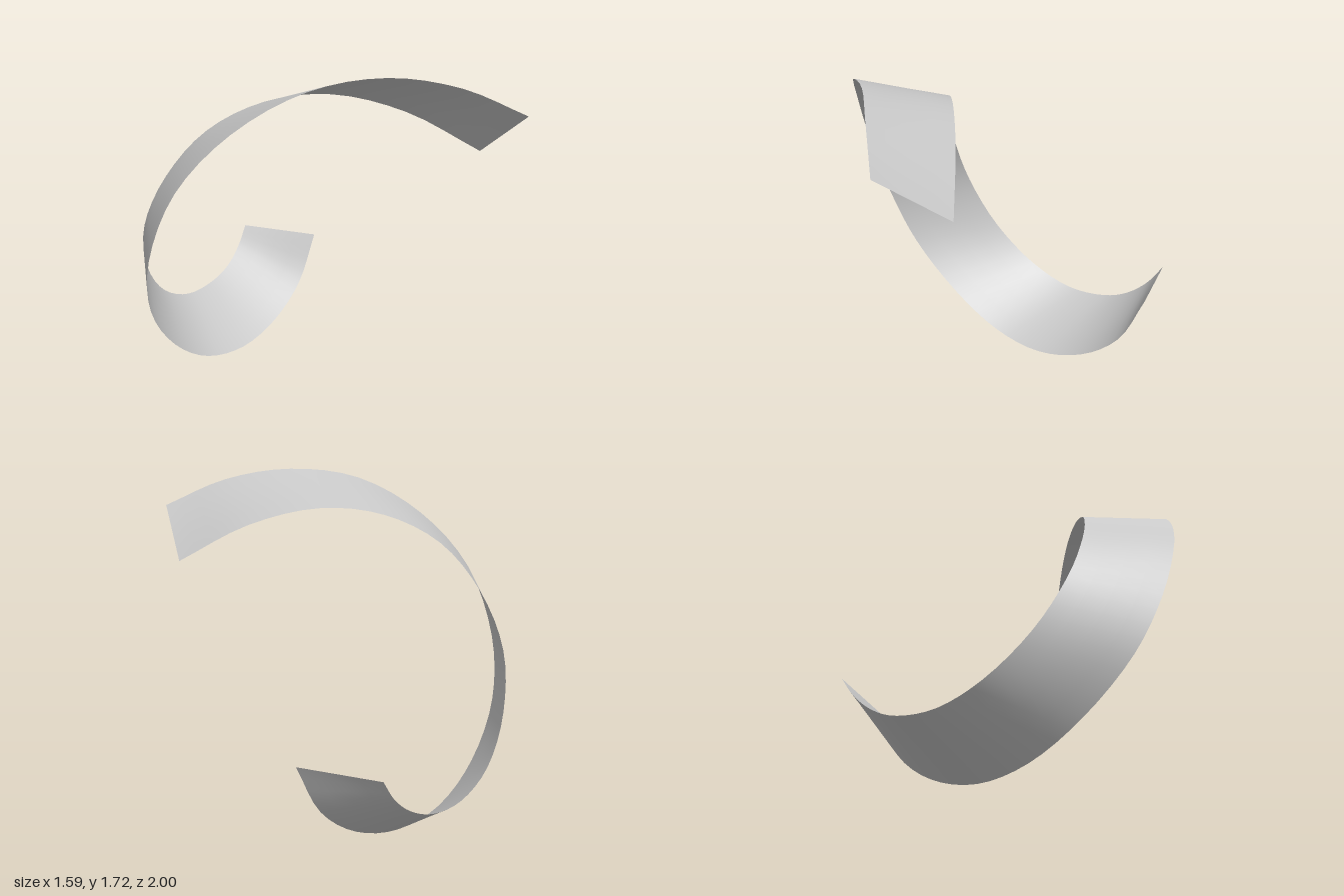
import * as THREE from 'three';

// Matching control points along the two edges, from the lower back end to the upper front end
const OUTER = [
  [0.68, 0.515, -0.63], [0.54, 0.25, -0.59], [0.32, 0.08, -0.525], [0.04, 0.002, -0.44],
  [-0.25, 0.045, -0.355], [-0.52, 0.22, -0.245], [-0.73, 0.5, -0.11], [-0.8, 0.82, 0.02],
  [-0.735, 1.19, 0.18], [-0.53, 1.48, 0.355], [-0.23, 1.675, 0.54], [0.12, 1.726, 0.685],
  [0.44, 1.668, 0.85], [0.737, 1.525, 1],
];
const INNER = [
  [0.42, 0.525, -1], [0.345, 0.415, -0.965], [0.235, 0.32, -0.917], [0.09, 0.26, -0.87],
  [-0.12, 0.255, -0.785], [-0.335, 0.355, -0.68], [-0.515, 0.575, -0.54], [-0.597, 0.86, -0.4],
  [-0.54, 1.15, -0.255], [-0.38, 1.395, -0.11], [-0.13, 1.538, 0.04], [0.16, 1.57, 0.21],
  [0.48, 1.477, 0.41], [0.793, 1.275, 0.63],
];

const edgeCurve = (points) => new THREE.CatmullRomCurve3(points.map((p) => new THREE.Vector3(...p)));

// Ruled surface: straight lines across, smooth curves along
function ruledStrip(curveA, curveB, along, across) {
  const geometry = new THREE.PlaneGeometry(1, 1, across, along);
  const position = geometry.attributes.position;
  const point = new THREE.Vector3();
  for (let i = 0; i <= along; i++) {
    const a = curveA.getPoint(i / along);
    const b = curveB.getPoint(i / along);
    for (let j = 0; j <= across; j++) {
      point.lerpVectors(a, b, j / across);
      position.setXYZ(i * (across + 1) + j, point.x, point.y, point.z);
    }
  }
  geometry.computeVertexNormals();
  return geometry;
}

export function createModel() {
  const group = new THREE.Group();
  group.name = 'spiralRibbon';
  const grey = new THREE.MeshStandardMaterial({ color: 0xc8c8c8, side: THREE.DoubleSide });
  grey.name = 'light grey';

  // One open turn of thin ribbon
  const ribbon = new THREE.Mesh(ruledStrip(edgeCurve(INNER), edgeCurve(OUTER), 52, 4), grey);
  ribbon.name = 'ribbon';
  group.add(ribbon);
  return group;
}
